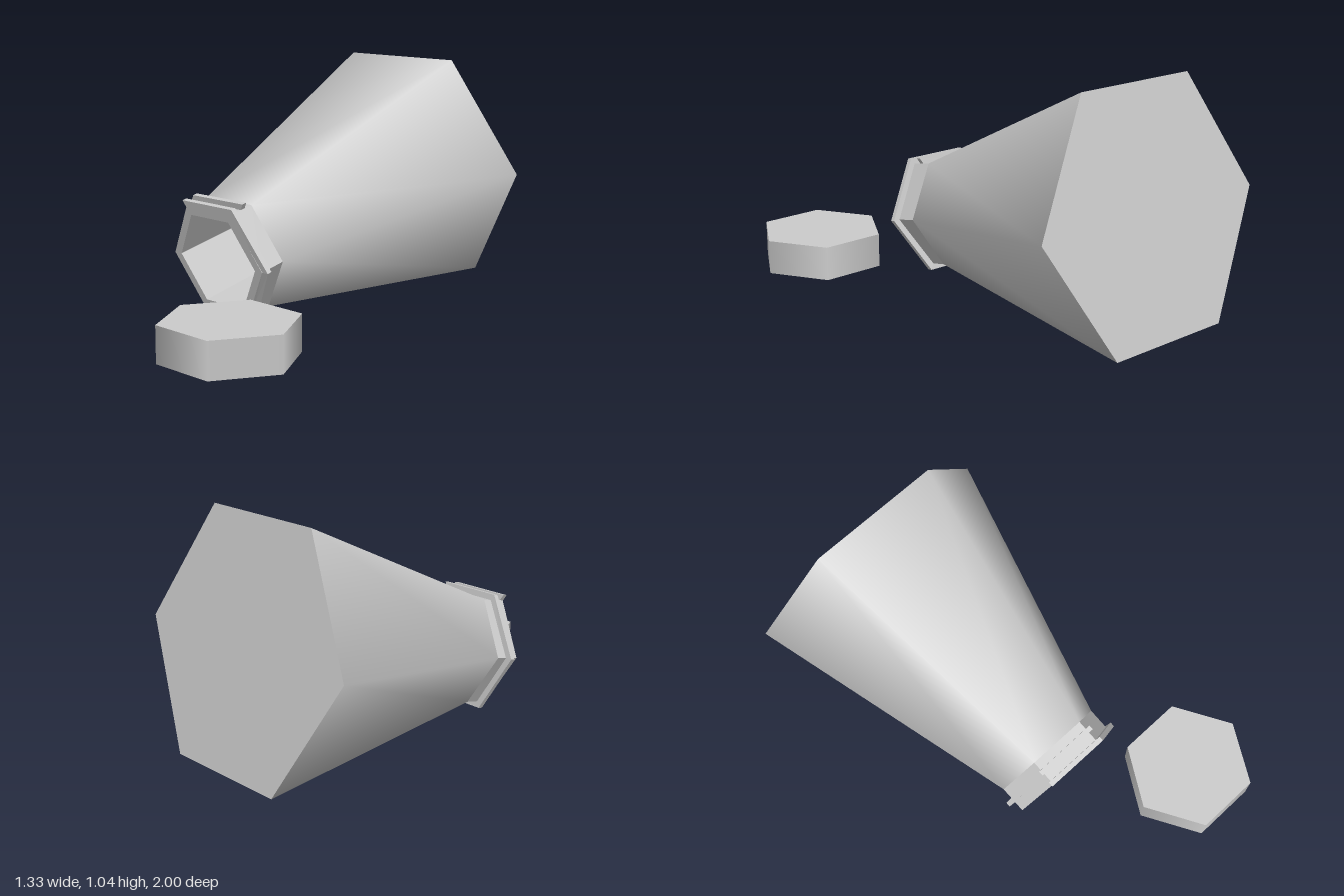
import * as THREE from 'three';

const material = new THREE.MeshStandardMaterial({ color: 0xcccccc, side: THREE.DoubleSide });
const flatMaterial = new THREE.MeshStandardMaterial({ color: 0xcccccc, side: THREE.DoubleSide, flatShading: true });

function addMesh(parent, name, geometry, mat) {
  const mesh = new THREE.Mesh(geometry, mat);
  mesh.name = name;
  parent.add(mesh);
  return mesh;
}

// Six-sided surface of revolution with corners on the x axis
function hexLathe(profile) {
  const points = profile.map(([r, y]) => new THREE.Vector2(r, y));
  return new THREE.LatheGeometry(points, 6, Math.PI / 6).toNonIndexed();
}

function hexSide(rTop, rBottom, height) {
  return new THREE.CylinderGeometry(rTop, rBottom, height, 6, 1, true, Math.PI / 6);
}

function hexDisc(r) {
  return new THREE.CircleGeometry(r, 6).rotateX(-Math.PI / 2);
}

// Square-section thread that steps from corner to corner of the neck
function threadGeometry(heights, startCorner, rInner, rOuter, half) {
  const positions = [];
  const index = [];
  heights.forEach((y, i) => {
    const a = (startCorner - i) * Math.PI / 3;
    for (const [r, dy] of [[rInner, -half], [rOuter, -half], [rOuter, half], [rInner, half]]) {
      positions.push(r * Math.cos(a), y + dy, -r * Math.sin(a));
    }
  });
  for (let i = 0; i < heights.length - 1; i++) {
    for (let k = 0; k < 4; k++) {
      const a = i * 4 + k, b = i * 4 + (k + 1) % 4;
      index.push(a, b, b + 4, a, b + 4, a + 4);
    }
  }
  const e = (heights.length - 1) * 4;
  index.push(0, 2, 1, 0, 3, 2, e, e + 1, e + 2, e, e + 2, e + 3);
  const g = new THREE.BufferGeometry();
  g.setAttribute('position', new THREE.Float32BufferAttribute(positions, 3));
  g.setIndex(index);
  const flat = g.toNonIndexed();
  flat.computeVertexNormals();
  return flat;
}

export function createModel() {
  const model = new THREE.Group();
  model.name = 'bottleAndCap';

  // Bottle, built upright from its base and then laid down with the mouth forward
  const bottle = new THREE.Group();
  bottle.name = 'bottle';
  const bodyLength = 1.205;
  addMesh(bottle, 'body', hexSide(0.268, 0.599, bodyLength), material).position.y = bodyLength / 2;
  addMesh(bottle, 'base', hexDisc(0.599).rotateX(Math.PI), material);

  // Neck wall, lip and hollow inside
  addMesh(bottle, 'neckAndCavity', hexLathe([
    [0.268, bodyLength], [0.268, 1.328], [0.227, 1.328], [0.227, 1.0], [0.56, 0.04], [0, 0.04],
  ]), flatMaterial);

  // Thread starts flush with the lip and runs back around the neck
  addMesh(bottle, 'neckThread', threadGeometry(
    [1.32, 1.32, 1.315, 1.29, 1.28, 1.268, 1.258, 1.255], 2, 0.255, 0.299, 0.011), flatMaterial);

  bottle.rotation.x = Math.PI / 2 + 0.2136;
  bottle.position.set(-0.066, 0.533, -0.89);
  model.add(bottle);

  // Cap, hollow and open underneath
  const cap = new THREE.Group();
  cap.name = 'cap';
  addMesh(cap, 'capSide', hexSide(0.287, 0.287, 0.153), material).position.y = 0.0765;
  addMesh(cap, 'capTop', hexDisc(0.287), material).position.y = 0.153;
  addMesh(cap, 'capInside', hexLathe([
    [0, 0.113], [0.235, 0.113], [0.235, 0], [0.287, 0],
  ]), flatMaterial);
  cap.position.set(0.376, 0.011, 0.751);
  model.add(cap);

  return model;
}
